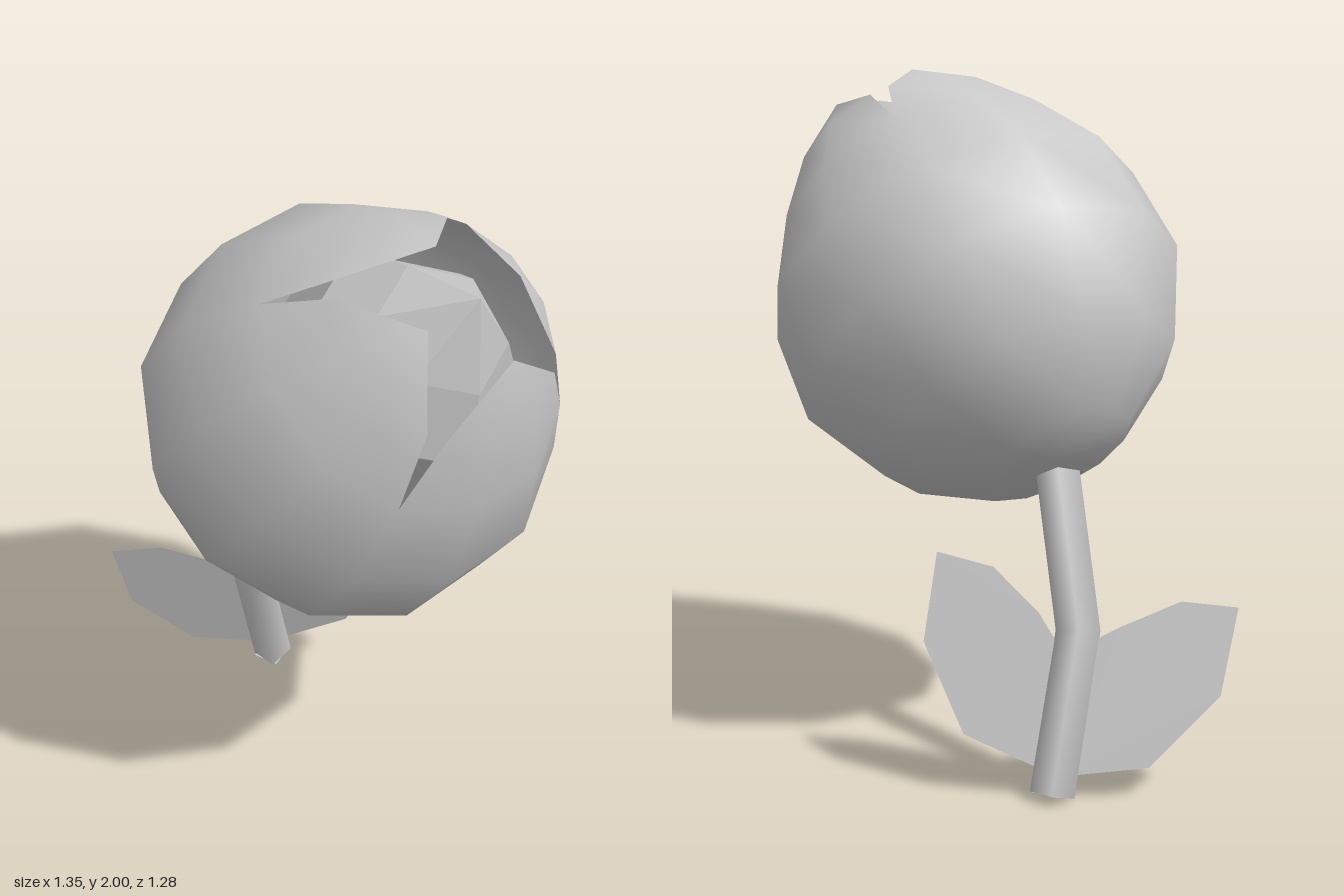
import * as THREE from 'three';
import { mergeVertices } from 'three/addons/utils/BufferGeometryUtils.js';

const grey = new THREE.MeshStandardMaterial({ color: 0xcacaca, side: THREE.DoubleSide });
grey.name = 'grey';

function mesh(name, geometry) {
  const m = new THREE.Mesh(geometry, grey);
  m.name = name;
  return m;
}

// Four petals closed into an egg around local z, split at the top.
// Each row: distance along the axis, radius, half width of a petal in degrees.
function petalGeometry() {
  const rows = [
    [-0.605, 0, 45], [-0.59, 0.24, 45], [-0.42, 0.465, 45], [-0.15, 0.602, 45],
    [0.13, 0.59, 45], [0.37, 0.465, 45], [0.56, 0.335, 40], [0.71, 0.18, 0],
  ];
  const cols = 3, positions = [], index = [];
  for (let p = 0; p < 4; p++) {
    const start = positions.length / 3;
    for (const [t, r, half] of rows) {
      for (let j = 0; j <= cols; j++) {
        const a = THREE.MathUtils.degToRad(7 + 90 * p + half * (2 * j / cols - 1));
        positions.push(r * Math.cos(a), r * Math.sin(a), t);
      }
    }
    for (let i = 0; i < rows.length - 1; i++) {
      for (let j = 0; j < cols; j++) {
        const a = start + i * (cols + 1) + j, b = a + 1, c = a + cols + 1, d = c + 1;
        if (i > 0) index.push(a, b, c);
        if (i < rows.length - 2) index.push(b, d, c);
      }
    }
  }
  const g = new THREE.BufferGeometry();
  g.setAttribute('position', new THREE.Float32BufferAttribute(positions, 3));
  g.setIndex(index);
  const merged = mergeVertices(g, 1e-4);
  merged.computeVertexNormals();
  return merged;
}

// Faceted inner bud that shows through the opening
function coreGeometry() {
  const profile = [[0.38, 0], [0.34, 0.35], [0.2, 0.54], [0, 0.74]].map(([r, t]) => new THREE.Vector2(r, t));
  const g = new THREE.LatheGeometry(profile, 6).toNonIndexed();
  g.rotateX(Math.PI / 2);
  g.computeVertexNormals();
  return g;
}

// Flat leaf outline, leaning along the stem
function leafGeometry(outline) {
  const g = new THREE.ShapeGeometry(new THREE.Shape(outline.map(([x, y]) => new THREE.Vector2(x, y))));
  const pos = g.attributes.position;
  for (let i = 0; i < pos.count; i++) pos.setZ(i, -0.585 + 0.26 * pos.getY(i));
  g.computeVertexNormals();
  return g;
}

export function createModel() {
  const model = new THREE.Group();
  model.name = 'flowerBud';

  // Bud tilted up, forward and to its left
  const axis = new THREE.Vector3(0.42, 0.74, 0.53).normalize();
  const side = new THREE.Vector3(0, 1, 0).cross(axis).normalize();
  const back = axis.clone().cross(side);
  const bud = new THREE.Group();
  bud.name = 'bud';
  bud.quaternion.setFromRotationMatrix(new THREE.Matrix4().makeBasis(side, back, axis));
  bud.position.set(0.088, 1.357, 0.05);
  bud.add(mesh('petals', petalGeometry()), mesh('innerBud', coreGeometry()));
  model.add(bud);

  // Bent four-sided stem with a closed lower end
  const path = new THREE.CatmullRomCurve3([
    new THREE.Vector3(-0.16, 0.02, -0.58),
    new THREE.Vector3(-0.23, 0.47, -0.46),
    new THREE.Vector3(-0.17, 0.87, -0.25),
  ]);
  const stemRadius = 0.063;
  model.add(mesh('stem', new THREE.TubeGeometry(path, 2, stemRadius, 4)));
  const end = mesh('stemEnd', new THREE.CircleGeometry(stemRadius, 4));
  end.position.copy(path.getPoint(0));
  end.quaternion.setFromUnitVectors(new THREE.Vector3(0, 0, 1), path.getTangent(0).negate());
  model.add(end);

  // Two leaves
  model.add(mesh('rightLeaf', leafGeometry([
    [-0.19, 0.07], [-0.2, 0.4], [-0.35, 0.475], [-0.52, 0.545], [-0.68, 0.53], [-0.63, 0.29], [-0.43, 0.095],
  ].reverse())));
  model.add(mesh('leftLeaf', leafGeometry([
    [-0.16, 0.08], [-0.1, 0.1], [0.09, 0.18], [0.205, 0.43], [0.17, 0.675], [0.01, 0.635], [-0.12, 0.51], [-0.19, 0.4],
  ])));
  return model;
}
